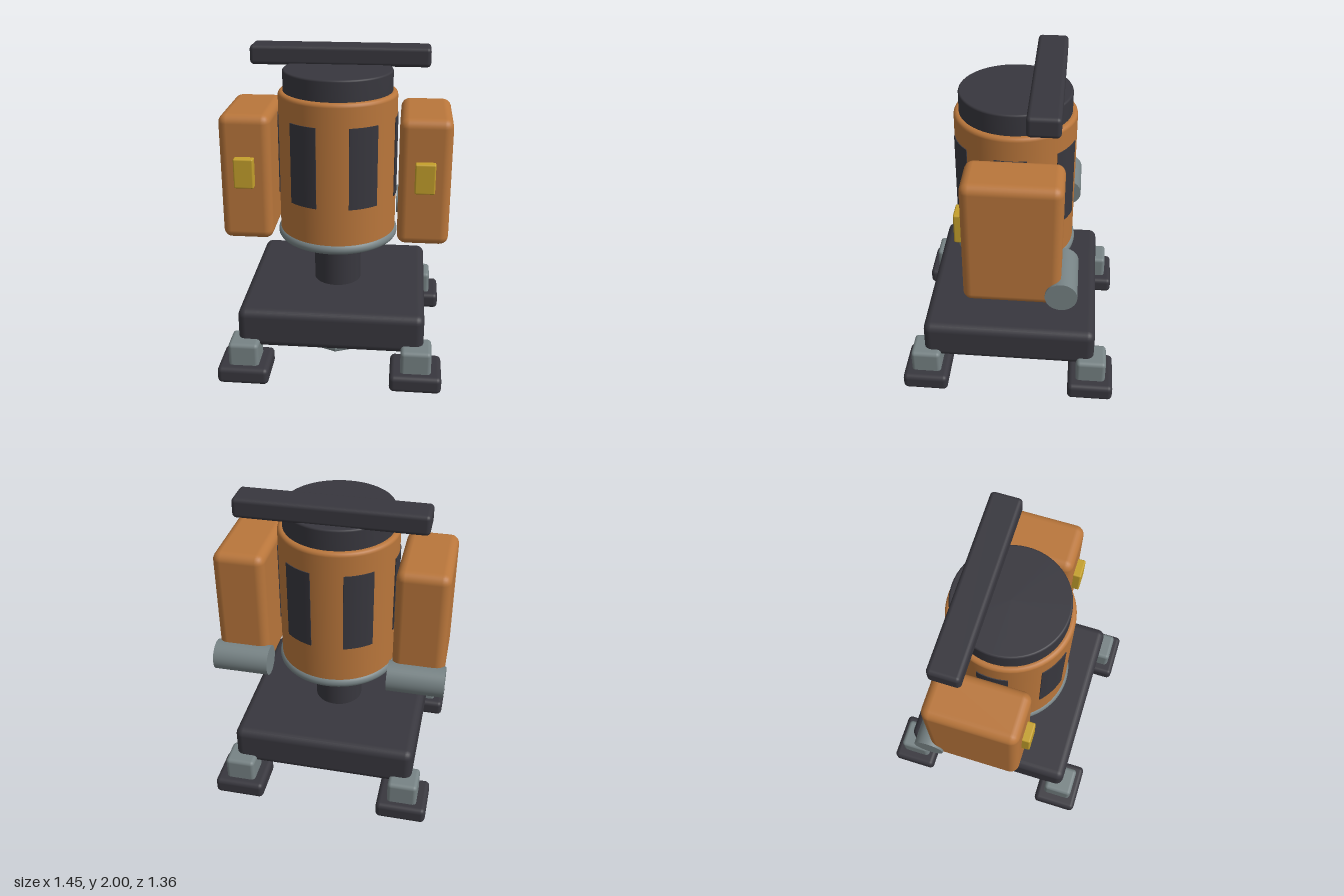
import * as THREE from 'three';
import { RoundedBoxGeometry } from 'three/addons/geometries/RoundedBoxGeometry.js';

export function createModel() {
  const model = new THREE.Group();
  model.name = 'machine';

  const material = (name, color) => {
    const m = new THREE.MeshStandardMaterial({ color });
    m.name = name;
    return m;
  };
  const dark = material('charcoal', 0x38373e);
  const orange = material('copperOrange', 0xb9763b);
  const grey = material('steelGrey', 0x778385);
  const yellow = material('mustardYellow', 0xc4a02c);

  const add = (name, geometry, mat, x = 0, y = 0, z = 0) => {
    const mesh = new THREE.Mesh(geometry, mat);
    mesh.name = name;
    mesh.position.set(x, y, z);
    model.add(mesh);
    return mesh;
  };
  const box = (name, mat, [w, h, d], [x, y, z], r) =>
    add(name, new RoundedBoxGeometry(w, h, d, 3, r), mat, x, y, z);

  // Upright drum with rounded rims
  const drum = (r, y0, y1, bevel, segments = 64) => {
    const pts = [new THREE.Vector2(0, y0)];
    for (let i = 0; i <= 4; i++) {
      const a = (i / 4) * Math.PI / 2;
      pts.push(new THREE.Vector2(r - bevel + bevel * Math.sin(a), y0 + bevel - bevel * Math.cos(a)));
    }
    for (let i = 0; i <= 4; i++) {
      const a = (i / 4) * Math.PI / 2;
      pts.push(new THREE.Vector2(r - bevel + bevel * Math.cos(a), y1 - bevel + bevel * Math.sin(a)));
    }
    pts.push(new THREE.Vector2(0, y1));
    return new THREE.LatheGeometry(pts, segments);
  };

  // Base slab, eight-sided hub underneath and central post
  box('baseSlab', dark, [1.16, 0.255, 1.1], [0, 0.3525, 0], 0.05);
  const hub = drum(0.22, 0, 0.2, 0.02, 8).toNonIndexed();
  hub.computeVertexNormals();
  add('hub', hub, grey);
  add('hubStem', new THREE.CylinderGeometry(0.15, 0.15, 0.08, 32), dark, 0, 0.22, 0);
  add('post', new THREE.CylinderGeometry(0.153, 0.153, 0.39, 48), dark, 0, 0.655, 0);

  // Four feet
  for (const sx of [-1, 1]) {
    for (const sz of [-1, 1]) {
      box('footLeg', grey, [0.19, 0.185, 0.19], [sx * 0.535, 0.1925, sz * 0.535], 0.025);
      box('footPad', dark, [0.32, 0.11, 0.29], [sx * 0.535, 0.085, sz * 0.535], 0.03);
    }
  }

  // Barrel, lower ring, top cap and crossbar
  add('barrel', drum(0.372, 0.825, 1.76, 0.025), orange);
  const ring = add('lowerRing', new THREE.TorusGeometry(0.353, 0.034, 16, 64), grey, 0, 0.836, 0);
  ring.rotation.x = Math.PI / 2;
  add('topCap', drum(0.341, 1.74, 1.89, 0.012), dark);
  box('crossbar', dark, [1.135, 0.122, 0.19], [0, 1.939, -0.195], 0.025);

  // Six curved panels around the barrel
  const arc = new THREE.Shape();
  const half = 0.255;
  arc.absarc(0, 0, 0.377, Math.PI / 2 - half, Math.PI / 2 + half, false);
  arc.absarc(0, 0, 0.368, Math.PI / 2 + half, Math.PI / 2 - half, true);
  arc.closePath();
  const panelGeometry = new THREE.ExtrudeGeometry(arc, { depth: 0.51, bevelEnabled: false, curveSegments: 12 });
  panelGeometry.rotateX(Math.PI / 2);
  for (let i = 0; i < 6; i++) {
    const panel = add('barrelPanel', panelGeometry, dark, 0, 1.612, 0);
    panel.rotation.y = Math.PI / 6 + i * Math.PI / 3;
  }

  // Side pods with front buttons and rear rollers
  for (const s of [-1, 1]) {
    box('sidePod', orange, [0.32, 0.81, 0.577], [s * 0.551, 1.24, -0.032], 0.055);
    box('podButton', yellow, [0.124, 0.19, 0.08], [s * 0.552, 1.291, 0.265], 0.01);
    const roller = add('rearRoller', new THREE.CylinderGeometry(0.095, 0.095, 0.35, 40), grey, s * 0.55, 0.92, -0.325);
    roller.rotation.z = Math.PI / 2;
  }

  return model;
}
